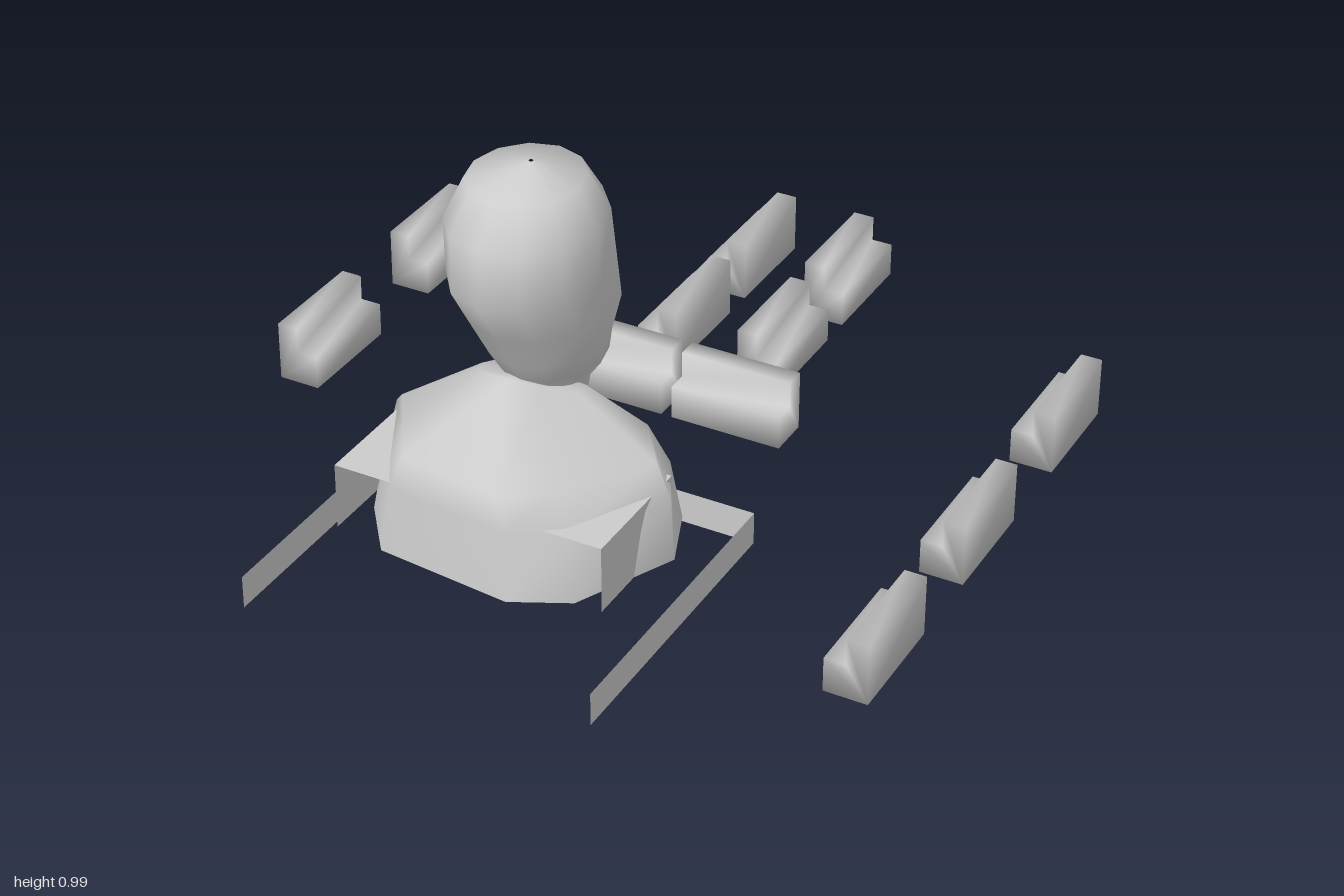
import * as THREE from 'three';
import { mergeVertices } from 'three/addons/utils/BufferGeometryUtils.js';

const material = new THREE.MeshStandardMaterial({ color: 0xcccccc });
const sheetMaterial = new THREE.MeshStandardMaterial({ color: 0xcccccc, side: THREE.DoubleSide });

// Skin a stack of closed rings (equal point counts, listed bottom to top).
function loft(rings) {
  const n = rings[0].length;
  const index = [];
  for (let i = 0; i < rings.length - 1; i++) {
    for (let j = 0; j < n; j++) {
      const a = i * n + j, b = i * n + (j + 1) % n;
      index.push(a, a + n, b, b, a + n, b + n);
    }
  }
  const geometry = new THREE.BufferGeometry();
  geometry.setAttribute('position', new THREE.Float32BufferAttribute(rings.flat(2), 3));
  geometry.setIndex(index);
  geometry.computeVertexNormals();
  return geometry;
}

// Oval ring at height y, given its extents in x and z.
function oval([y, x0, x1, z0, z1], n = 12) {
  return Array.from({ length: n }, (_, i) => {
    const a = (i / n) * Math.PI * 2;
    return [(x0 + x1) / 2 + Math.sin(a) * (x1 - x0) / 2, y, (z0 + z1) / 2 - Math.cos(a) * (z1 - z0) / 2];
  });
}

function addMesh(parent, name, geometry, mat = material) {
  const mesh = new THREE.Mesh(geometry, mat);
  mesh.name = name;
  parent.add(mesh);
  return mesh;
}

// Upright sheet between two floor points.
function wall(parent, name, [ax, az], [bx, bz], y0, y1) {
  const mesh = addMesh(parent, name,
    new THREE.PlaneGeometry(Math.hypot(bx - ax, bz - az), y1 - y0), sheetMaterial);
  mesh.position.set((ax + bx) / 2, (y0 + y1) / 2, (az + bz) / 2);
  mesh.rotation.y = -Math.atan2(bz - az, bx - ax);
}

function createBust() {
  const bust = new THREE.Group();
  bust.name = 'bust';

  // Shoulders: base outline, shoulder edge, sloping collar
  const base = [[0.06, 0.26], [0.33, 0.4], [0.39, 0.55], [0.28, 0.79], [0.15, 0.855],
    [-0.18, 0.82], [-0.28, 0.69], [-0.385, 0.48], [-0.22, 0.32], [-0.07, 0.27]]
    .map(([x, z]) => [x, 0.15, z]);
  const lowShoulder = [[0.06, 0.28, 0.31], [0.31, 0.3, 0.42], [0.375, 0.29, 0.54], [0.255, 0.29, 0.77], [0.14, 0.31, 0.838],
    [-0.16, 0.31, 0.81], [-0.25, 0.28, 0.68], [-0.34, 0.3, 0.49], [-0.2, 0.29, 0.35], [-0.06, 0.28, 0.31]];
  const shoulder = [[0.06, 0.37, 0.35], [0.26, 0.385, 0.43], [0.33, 0.36, 0.52], [0.21, 0.37, 0.73], [0.12, 0.39, 0.83],
    [-0.13, 0.39, 0.8], [-0.21, 0.37, 0.67], [-0.32, 0.325, 0.5], [-0.19, 0.38, 0.41], [-0.06, 0.37, 0.35]];
  const collar = [[0.05, 0.43, 0.41], [0.12, 0.455, 0.45], [0.13, 0.465, 0.5], [0.07, 0.495, 0.56], [0.01, 0.52, 0.6],
    [-0.04, 0.52, 0.6], [-0.08, 0.495, 0.56], [-0.11, 0.47, 0.5], [-0.1, 0.455, 0.45], [-0.04, 0.43, 0.41]];
  const neckCentre = collar.map(() => [0.01, 0.47, 0.49]);
  addMesh(bust, 'shoulders', loft([base, lowShoulder, shoulder, collar, neckCentre]));
  addMesh(bust, 'bustUnderside', loft([base.map(() => [0, 0.15, 0.55]), base]));

  // Head narrowing into a wedge-shaped neck
  addMesh(bust, 'head', loft([
    [0.2, -0.01, 0.03, 0.285, 0.45],
    [0.42, -0.06, 0.08, 0.285, 0.5],
    [0.5, -0.095, 0.14, 0.285, 0.56],
    [0.55, -0.115, 0.15, 0.278, 0.59],
    [0.64, -0.145, 0.175, 0.255, 0.64],
    [0.75, -0.155, 0.18, 0.268, 0.71],
    [0.87, -0.165, 0.172, 0.288, 0.69],
    [0.955, -0.128, 0.125, 0.34, 0.625],
    [0.99, 0.005, 0.015, 0.475, 0.485],
  ].map((r) => oval(r))));
  return bust;
}

// L-shaped bench, backrest on -x and seat on +x
function benchGeometry() {
  const profile = new THREE.Shape([[-0.0525, 0], [0.0525, 0], [0.0525, 0.085], [0, 0.085], [0, 0.15], [-0.0525, 0.15]]
    .map(([x, y]) => new THREE.Vector2(x, y)));
  let geometry = new THREE.ExtrudeGeometry(profile, { depth: 0.283, bevelEnabled: false });
  geometry.translate(0, 0, -0.1415);
  geometry.deleteAttribute('normal');
  geometry.deleteAttribute('uv');
  geometry = mergeVertices(geometry);
  geometry.computeVertexNormals();
  return geometry;
}

export function createModel() {
  const model = new THREE.Group();
  model.name = 'bustWithBenches';
  model.add(createBust());

  // Open canopy running through the bust: roof and two sides
  const canopy = new THREE.Group();
  canopy.name = 'canopy';
  model.add(canopy);
  const roof = addMesh(canopy, 'canopyRoof', new THREE.PlaneGeometry(0.655, 0.31), sheetMaterial);
  roof.rotation.x = -Math.PI / 2;
  roof.position.set(0.0175, 0.31, 0.635);
  for (const x of [-0.31, 0.345]) wall(canopy, 'canopySide', [x, 0.48], [x, 0.79], 0.15, 0.31);

  // Three-sided rail
  const rail = new THREE.Group();
  rail.name = 'rail';
  model.add(rail);
  wall(rail, 'railBack', [-0.42, 0.26], [0.435, 0.26], 0.03, 0.11);
  for (const x of [-0.42, 0.435]) wall(rail, 'railSide', [x, 0.26], [x, 1], 0.03, 0.11);

  // Benches: x, z, turn
  const bench = benchGeometry();
  const places = [
    [-0.157, -0.2, -Math.PI / 2], [0.153, -0.2, -Math.PI / 2],
    [0.838, 0.49, Math.PI],
  ];
  for (const z of [-0.5, 0.003]) places.push([-0.843, z, 0], [0.838, z, Math.PI]);
  for (const z of [-0.8585, -0.495]) places.push([-0.137, z, Math.PI], [0.132, z, 0]);
  for (const [x, z, turn] of places) {
    const mesh = addMesh(model, 'bench', bench);
    mesh.position.set(x, 0, z);
    mesh.rotation.y = turn;
  }
  return model;
}
